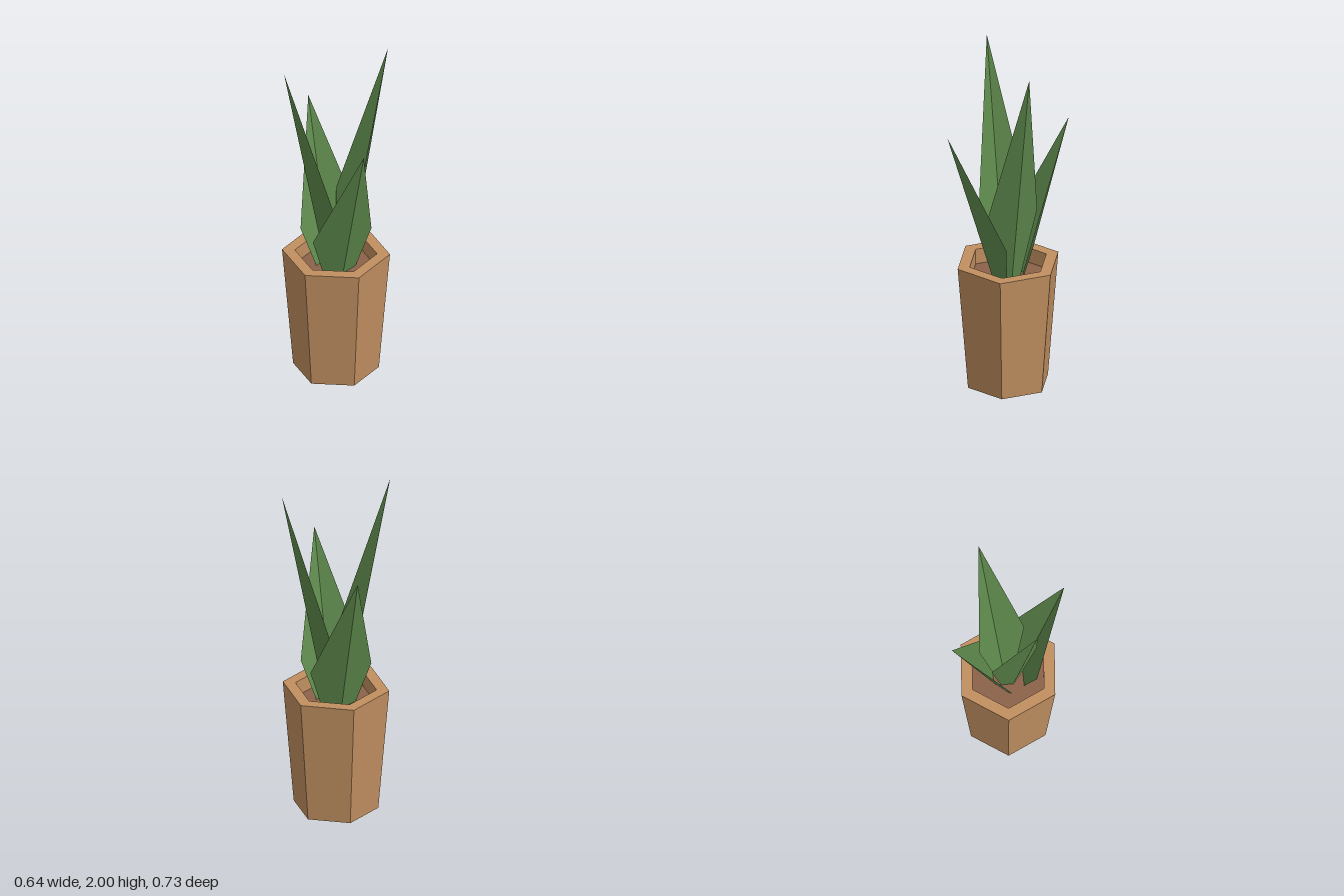
import * as THREE from 'three';

const SOIL_Y = 0.655;

const material = (color, side = THREE.FrontSide) =>
  new THREE.MeshStandardMaterial({ color, side, flatShading: true });

// Folded leaf leaning towards +z: the midrib lies outside, both edges fold inwards.
function leafGeometry({ tipY, tipZ, ribZ, wideX, wideY, baseX, fold }) {
  const slope = (tipZ - ribZ) / (tipY - SOIL_Y);
  const point = (x, y) => [x, y, ribZ + (y - SOIL_Y) * slope - Math.abs(x) * fold];
  const points = [
    point(0, tipY),
    point(-wideX, wideY), point(-baseX, SOIL_Y),
    point(0, SOIL_Y),
    point(baseX, SOIL_Y), point(wideX, wideY),
  ];
  const geometry = new THREE.BufferGeometry();
  geometry.setAttribute('position', new THREE.Float32BufferAttribute(points.flat(), 3));
  geometry.setIndex([0, 1, 2, 0, 2, 3, 0, 3, 4, 0, 4, 5]);
  geometry.computeVertexNormals();
  return geometry;
}

export function createModel() {
  const group = new THREE.Group();
  const add = (name, geometry, mat) => {
    const mesh = new THREE.Mesh(geometry, mat);
    mesh.name = name;
    group.add(mesh);
    return mesh;
  };

  // Six-sided tapered pot with a thick rim and a hollow top
  const profile = [[0, 0], [0.24, 0], [0.302, 0.745], [0.23, 0.745], [0.23, SOIL_Y - 0.02]]
    .map(([r, y]) => new THREE.Vector2(r, y));
  add('pot', new THREE.LatheGeometry(profile, 6), material(0xc08f60));

  // Soil
  const soil = add('soil', new THREE.CylinderGeometry(0.23, 0.23, 0.02, 6), material(0x8b6249));
  soil.position.y = SOIL_Y - 0.01;

  // Short leaves at front and back, tall leaves at both sides
  const green = material(0x5f8a4d, THREE.DoubleSide);
  const short = leafGeometry({
    tipY: 1.57, tipZ: 0.365, ribZ: 0.092, wideX: 0.18, wideY: 0.9, baseX: 0.1, fold: 0.465,
  });
  const tall = leafGeometry({
    tipY: 2, tipZ: 0.32, ribZ: 0.06, wideX: 0.147, wideY: 1.07, baseX: 0.063, fold: 0.475,
  });
  add('frontLeaf', short, green);
  add('backLeaf', short, green).rotation.y = Math.PI;
  add('leftLeaf', tall, green).rotation.y = Math.PI / 2;
  add('rightLeaf', tall, green).rotation.y = -Math.PI / 2;

  return group;
}
